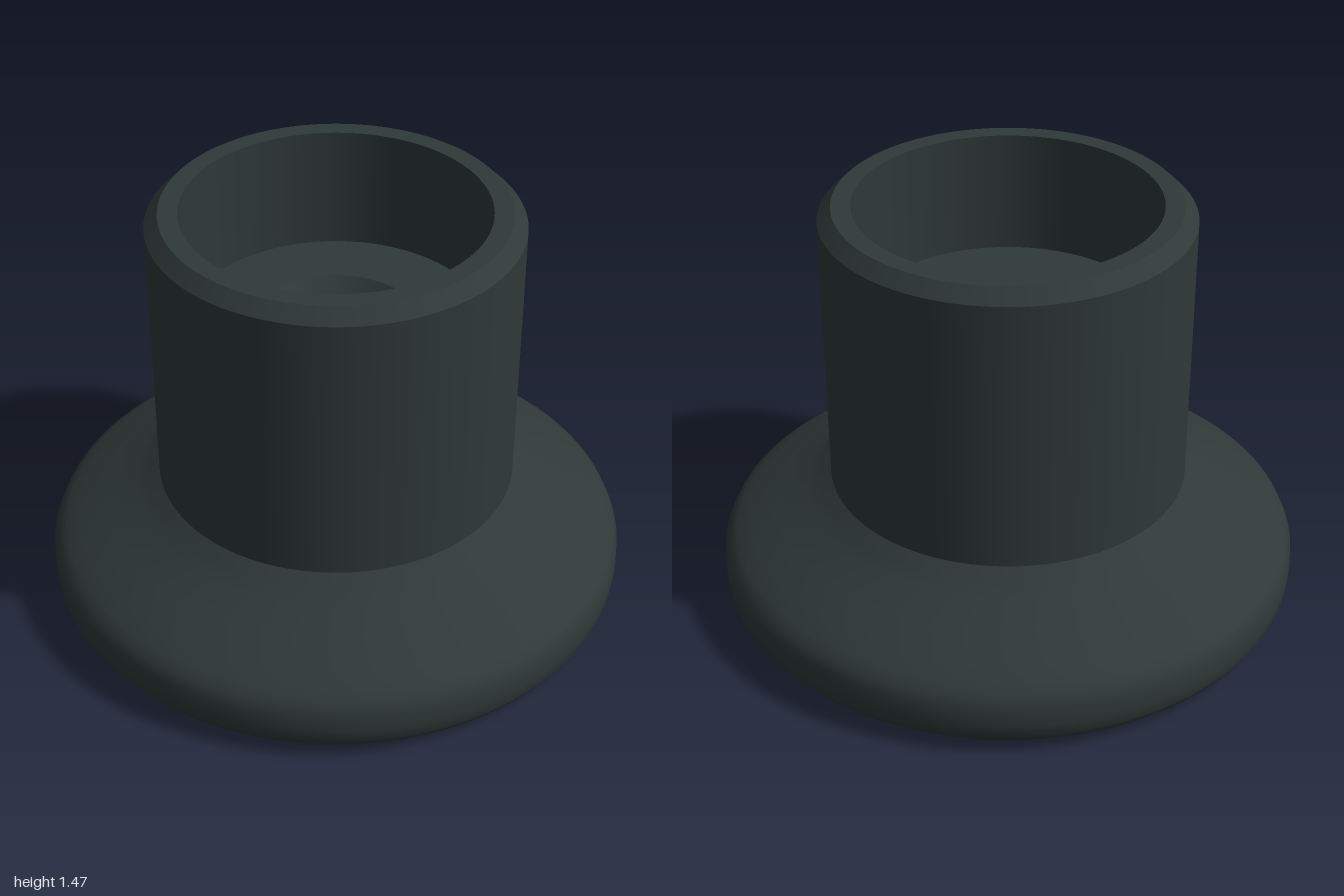
import * as THREE from 'three';

export function createModel() {
  const group = new THREE.Group();
  group.name = 'flangedSocketFoot';
  const rubber = new THREE.MeshStandardMaterial({ color: 0x2f3938 });
  rubber.name = 'dark slate';

  // Each section is revolved separately so the edges between sections stay sharp.
  const revolve = (name, points) => {
    const profile = points.map(([r, y]) => new THREE.Vector2(r, y));
    const mesh = new THREE.Mesh(new THREE.LatheGeometry(profile, 96), rubber);
    mesh.name = name;
    group.add(mesh);
  };

  // Flared foot, listed upwards so the faces point outwards
  revolve('footUnderside', [[0, 0], [0.92, 0]]);
  revolve('footFlange', [
    [0.92, 0], [0.975, 0.052], [0.995, 0.085], [1, 0.13], [0.998, 0.19],
    [0.98, 0.23], [0.95, 0.255], [0.9, 0.29], [0.8, 0.345], [0.7, 0.4],
    [0.66, 0.43], [0.615, 0.465],
  ]);

  // Upright sleeve with chamfered rim
  revolve('sleeveWall', [[0.615, 0.465], [0.615, 1.42]]);
  revolve('rimChamfer', [[0.615, 1.42], [0.57, 1.465]]);
  revolve('rimTop', [[0.57, 1.465], [0.505, 1.465]]);

  // Bore with a stepped, countersunk floor
  revolve('boreWall', [[0.505, 1.465], [0.505, 1.035]]);
  revolve('boreFloor', [[0.505, 1.035], [0.28, 1.035]]);
  revolve('countersink', [[0.28, 1.035], [0.235, 0.98]]);
  revolve('countersinkFloor', [[0.235, 0.98], [0, 0.98]]);

  return group;
}
